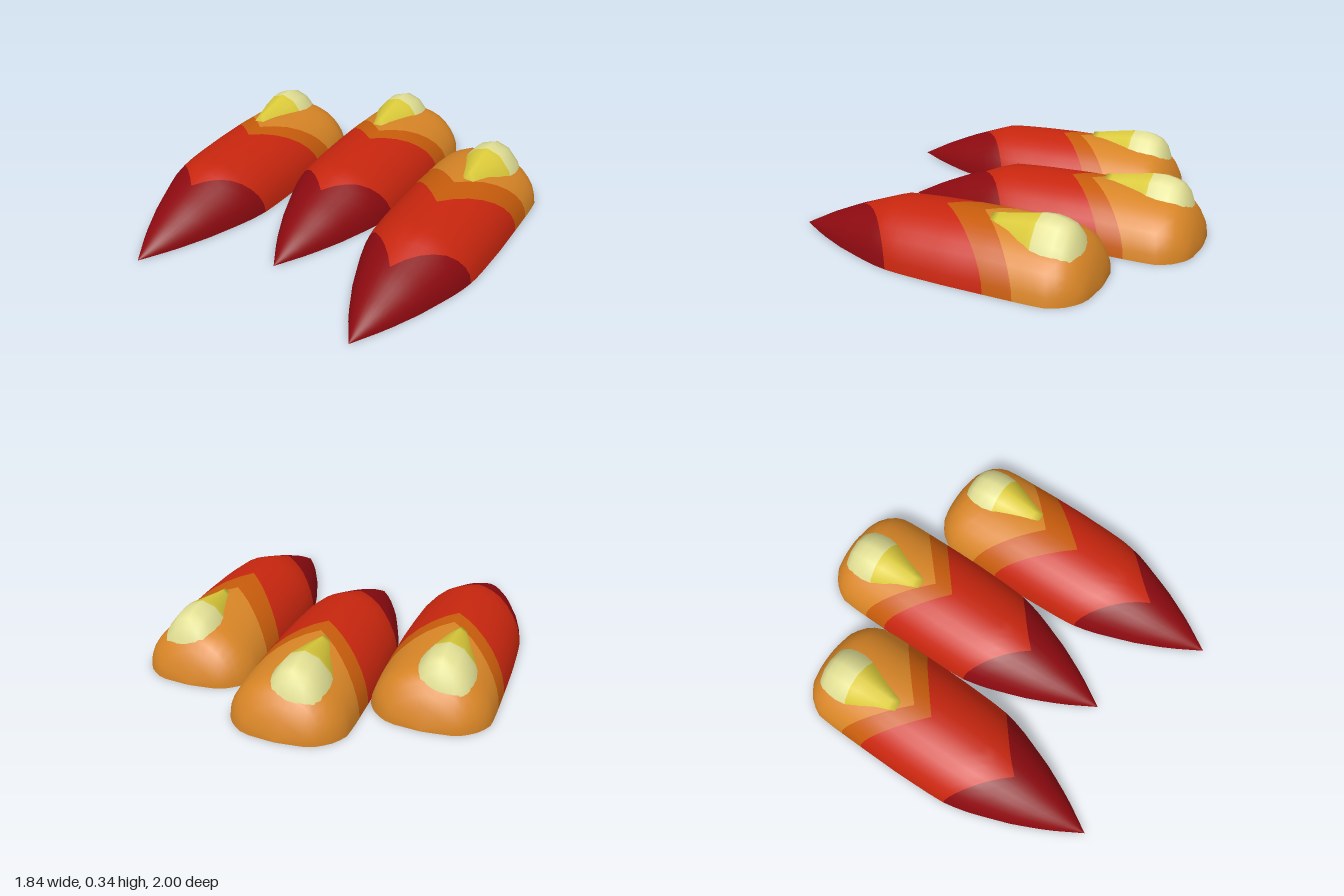
import * as THREE from 'three';

const mat = (name, color) => {
  const m = new THREE.MeshStandardMaterial({ color });
  m.name = name;
  return m;
};

// Half width and height of a profile [z, width, height] at a given z
function sample(profile, z) {
  for (let i = 1; i < profile.length; i++) {
    const a = profile[i - 1], b = profile[i];
    if (z <= b[0] || i === profile.length - 1) {
      const t = THREE.MathUtils.clamp((z - a[0]) / (b[0] - a[0]), 0, 1);
      return [a[1] + (b[1] - a[1]) * t, a[2] + (b[2] - a[2]) * t];
    }
  }
}

// Flat-bottomed shell of half-elliptic sections, striped by V-shaped cuts
// [z at the crest, z at the side]. Group k is band k; the last group is the base.
function halfShell(profile, cuts, cols, rowsPerBand, withBase) {
  const geo = new THREE.BufferGeometry();
  const pos = [], index = [], rows = [];
  const first = profile[0][0], last = profile[profile.length - 1][0];
  const lines = [[first, first], ...cuts, [last, last]];
  const bands = lines.length - 1;
  for (let k = 0; k < bands; k++) {
    for (let r = k ? 1 : 0; r <= rowsPerBand; r++) {
      let t = r / rowsPerBand;
      if (k === 0) t *= t; // finer rows around the blunt back end
      rows.push([0, 1].map(e => lines[k][e] + (lines[k + 1][e] - lines[k][e]) * t));
    }
  }
  for (const [crest, side] of rows) {
    for (let j = 0; j <= cols; j++) {
      const a = Math.PI * j / cols, c = Math.cos(a);
      const z = crest + (side - crest) * Math.abs(c);
      const [w, h] = sample(profile, z);
      pos.push(w * c, j === cols ? 0 : h * Math.sin(a), z);
    }
  }
  const n = cols + 1;
  for (let k = 0; k < bands; k++) {
    const start = index.length;
    for (let i = k * rowsPerBand; i < (k + 1) * rowsPerBand; i++) {
      for (let j = 0; j < cols; j++) {
        const a = i * n + j, b = a + n;
        index.push(a, a + 1, b, a + 1, b + 1, b);
      }
    }
    geo.addGroup(start, index.length - start, k);
  }
  if (withBase) {
    const start = index.length, v = pos.length / 3;
    rows.forEach(([, z], i) => {
      const w = sample(profile, z)[0];
      pos.push(w, 0, z, -w, 0, z);
      const a = v + i * 2;
      if (i) index.push(a - 2, a, a - 1, a, a + 1, a - 1);
    });
    geo.addGroup(start, index.length - start, bands);
  }
  geo.setAttribute('position', new THREE.Float32BufferAttribute(pos, 3));
  geo.setIndex(index);
  geo.computeVertexNormals();
  return geo;
}

const BODY = [
  [-0.69, 0, 0], [-0.68, 0.13, 0.07], [-0.66, 0.19, 0.13], [-0.62, 0.245, 0.195],
  [-0.58, 0.275, 0.235], [-0.54, 0.298, 0.25], [-0.45, 0.305, 0.262], [-0.2, 0.307, 0.277],
  [0, 0.307, 0.276], [0.2, 0.3, 0.27], [0.3, 0.293, 0.265], [0.4, 0.272, 0.26],
  [0.47, 0.25, 0.235], [0.66, 0.18, 0.165], [0.83, 0.1, 0.09], [1, 0, 0],
];
const SPIKE = [
  [-0.65, 0, 0], [-0.63, 0.1, 0.13], [-0.605, 0.15, 0.24], [-0.57, 0.175, 0.305],
  [-0.5, 0.188, 0.333], [-0.44, 0.19, 0.343], [-0.4, 0.185, 0.338], [-0.2, 0.11, 0.302],
  [-0.12, 0.06, 0.288], [-0.11, 0, 0],
];

export function createModel() {
  const darkRed = mat('darkRed', 0x8c0a10);
  const red = mat('red', 0xc8260e);
  const darkOrange = mat('darkOrange', 0xc85c0c);
  const orange = mat('orange', 0xd88526);
  const yellow = mat('yellow', 0xdccb3a);
  const pale = mat('paleYellow', 0xe2e094);

  const group = new THREE.Group();
  const evenCuts = [[-0.08, -0.37], [0.03, -0.24], [0.55, 0.3]];
  const deepCuts = [[-0.08, -0.37], [0.13, -0.22], [0.62, 0.32]];
  const spikeGeo = halfShell(SPIKE, [[-0.4, -0.4]], 8, 8, false);

  // Three tapered pieces, the middle one set back
  const pieces = [
    ['right', -0.613, 0, -0.05, evenCuts],
    ['middle', 0, -0.31, -0.042, evenCuts],
    ['left', 0.613, 0, 0.045, deepCuts],
  ];
  for (const [side, x, z, spikeX, cuts] of pieces) {
    const piece = new THREE.Group();
    piece.name = side + 'Piece';
    piece.position.set(x, 0, z);

    const body = new THREE.Mesh(halfShell(BODY, cuts, 16, 10, true),
      [orange, darkOrange, red, darkRed, darkRed]);
    body.name = side + 'Body';

    // Pale knob with a yellow point on the crest
    const spike = new THREE.Mesh(spikeGeo, [pale, yellow]);
    spike.name = side + 'Spike';
    spike.position.x = spikeX;

    piece.add(body, spike);
    group.add(piece);
  }
  return group;
}
